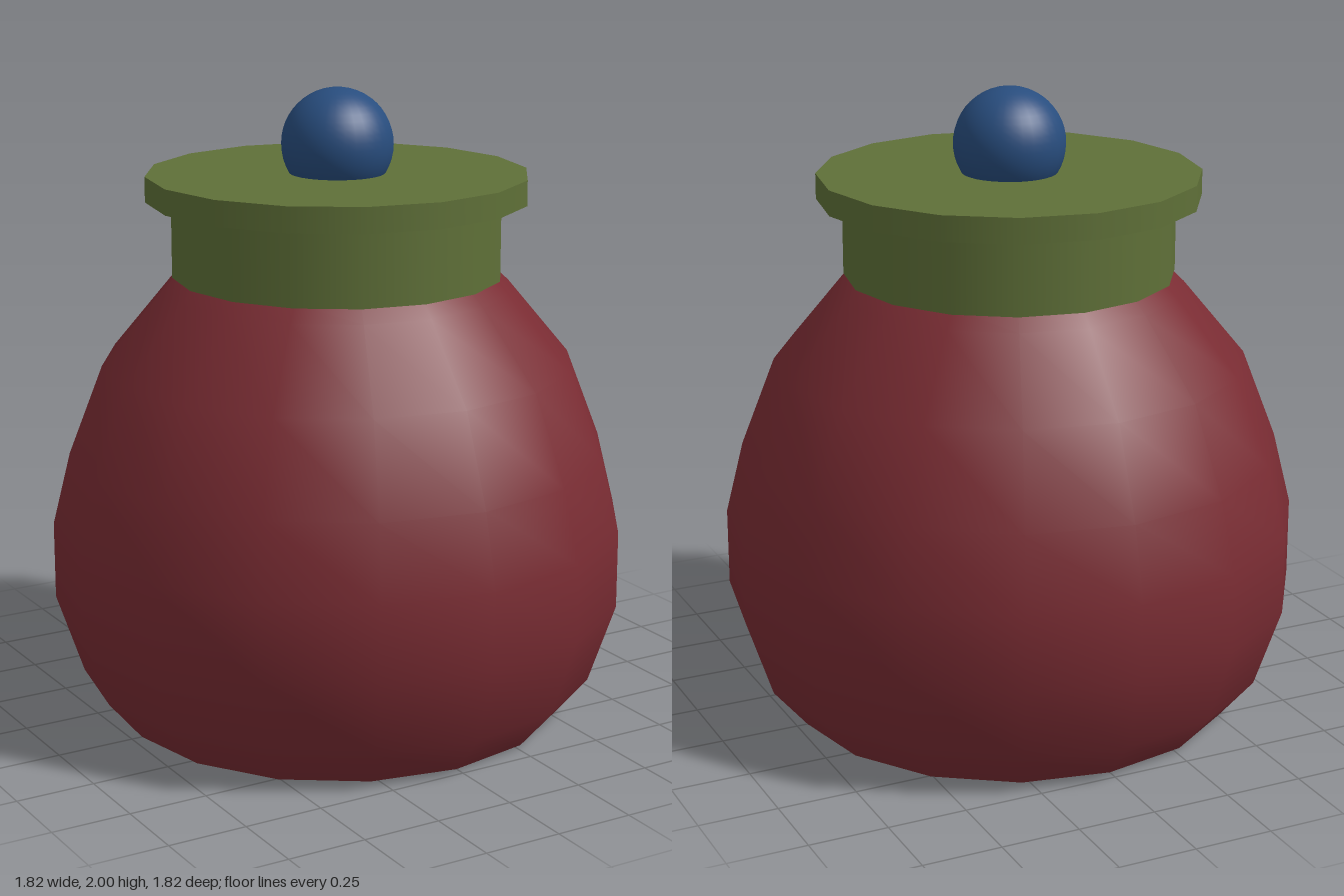
import * as THREE from 'three';

const SIDES = 16;

export function createModel() {
  const model = new THREE.Group();
  const red = new THREE.MeshStandardMaterial({ color: 0x7a2c33 });
  const green = new THREE.MeshStandardMaterial({ color: 0x5f7038 });
  const blue = new THREE.MeshStandardMaterial({ color: 0x284d7e });

  function add(name, geometry, material, y = 0) {
    const mesh = new THREE.Mesh(geometry, material);
    mesh.name = name;
    mesh.position.y = y;
    model.add(mesh);
    return mesh;
  }

  // Disc of given height, standing on y = bottom
  function disc(name, radius, bottom, top) {
    add(name, new THREE.CylinderGeometry(radius, radius, top - bottom, SIDES), green, (bottom + top) / 2);
  }

  // Rounded jar body, smooth around and up the profile
  const profile = [
    [0.715, 0], [0.825, 0.13], [0.91, 0.385], [0.91, 0.63],
    [0.853, 0.86], [0.745, 1.14], [0.55, 1.375], [0.5, 1.425],
  ].map(([r, y]) => new THREE.Vector2(r, y));
  add('body', new THREE.LatheGeometry(profile, SIDES), red);

  // Flat underside with its own normals
  add('base', new THREE.CircleGeometry(0.715, SIDES).rotateX(Math.PI / 2), red);

  // Lid: neck and overhanging rim
  disc('lidNeck', 0.52, 1.415, 1.655);
  disc('lidRim', 0.6, 1.655, 1.735);

  // Round knob, sunk into the lid
  add('knob', new THREE.SphereGeometry(0.175, 32, 24), blue, 1.825);

  return model;
}
